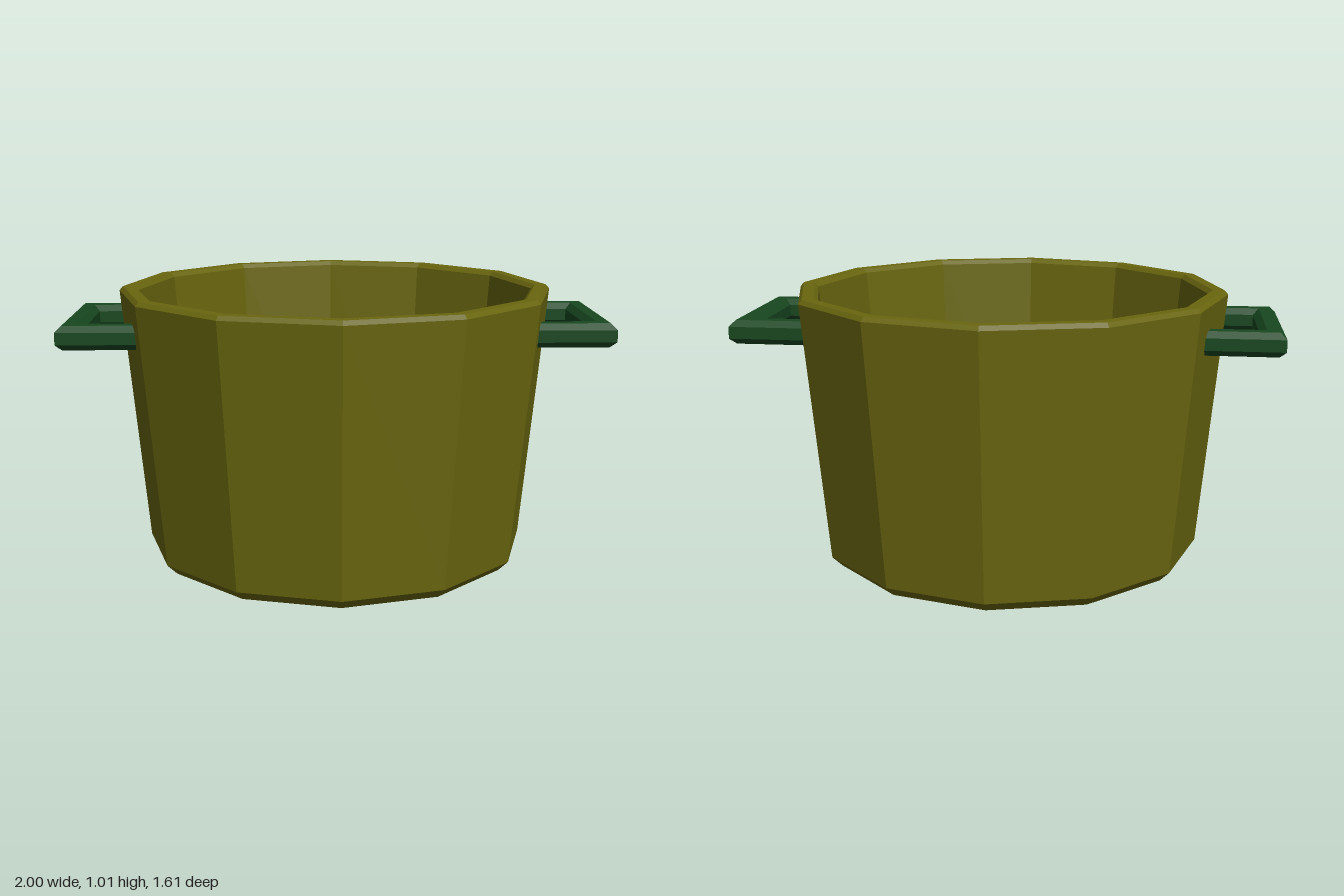
import * as THREE from 'three';

const SIDES = 12;
const olive = new THREE.MeshStandardMaterial({ color: 0x69660f, flatShading: true });
const green = new THREE.MeshStandardMaterial({ color: 0x184820, flatShading: true });

// Sweep a chamfered square bar along a U-shaped path with mitred corners
function handleGeometry() {
  const h = 0.044, c = 0.022;
  const section = [[h, -c], [h, c], [c, h], [-c, h], [-h, c], [-h, -c], [-c, -h], [c, -h]];
  // x, z of the path and the outward mitre direction in x, z
  const path = [
    [0.69, 0.24, 0, 1], [0.956, 0.24, 1, 1],
    [0.956, -0.24, 1, -1], [0.69, -0.24, 0, -1],
  ];
  const positions = [], indices = [], n = section.length;
  for (const [x, z, dx, dz] of path)
    for (const [u, v] of section) positions.push(x + u * dx, v, z + u * dz);
  for (let i = 0; i < path.length - 1; i++)
    for (let j = 0; j < n; j++) {
      const k = (j + 1) % n;
      const a = i * n + j, b = a + n, e = i * n + k, f = e + n;
      indices.push(a, b, e, b, f, e);
    }
  // End caps, set into the pot wall
  const last = (path.length - 1) * n;
  for (let j = 1; j < n - 1; j++) {
    indices.push(0, j, j + 1, last, last + j + 1, last + j);
  }
  const geo = new THREE.BufferGeometry();
  geo.setAttribute('position', new THREE.Float32BufferAttribute(positions, 3));
  geo.setIndex(indices);
  const flat = geo.toNonIndexed();
  flat.computeVertexNormals();
  return flat;
}

export function createModel() {
  const model = new THREE.Group();
  model.name = 'cookingPot';

  // Pot: closed profile from the base, up the outside, over the rim, down to the floor
  const profile = [
    [0, 0], [0.68, 0], [0.718, 0.038], [0.805, 0.995], [0.792, 1.01],
    [0.75, 1.01], [0.735, 0.995], [0.65, 0.05], [0, 0.05],
  ].map(([r, y]) => new THREE.Vector2(r, y));
  const pot = new THREE.Mesh(new THREE.LatheGeometry(profile, SIDES), olive);
  pot.name = 'pot';
  model.add(pot);

  // Two side handles
  const geo = handleGeometry();
  for (const [name, turn] of [['leftHandle', 0], ['rightHandle', Math.PI]]) {
    const handle = new THREE.Mesh(geo, green);
    handle.name = name;
    handle.rotation.y = turn;
    handle.position.set(0, 0.863, 0.005);
    model.add(handle);
  }
  return model;
}
